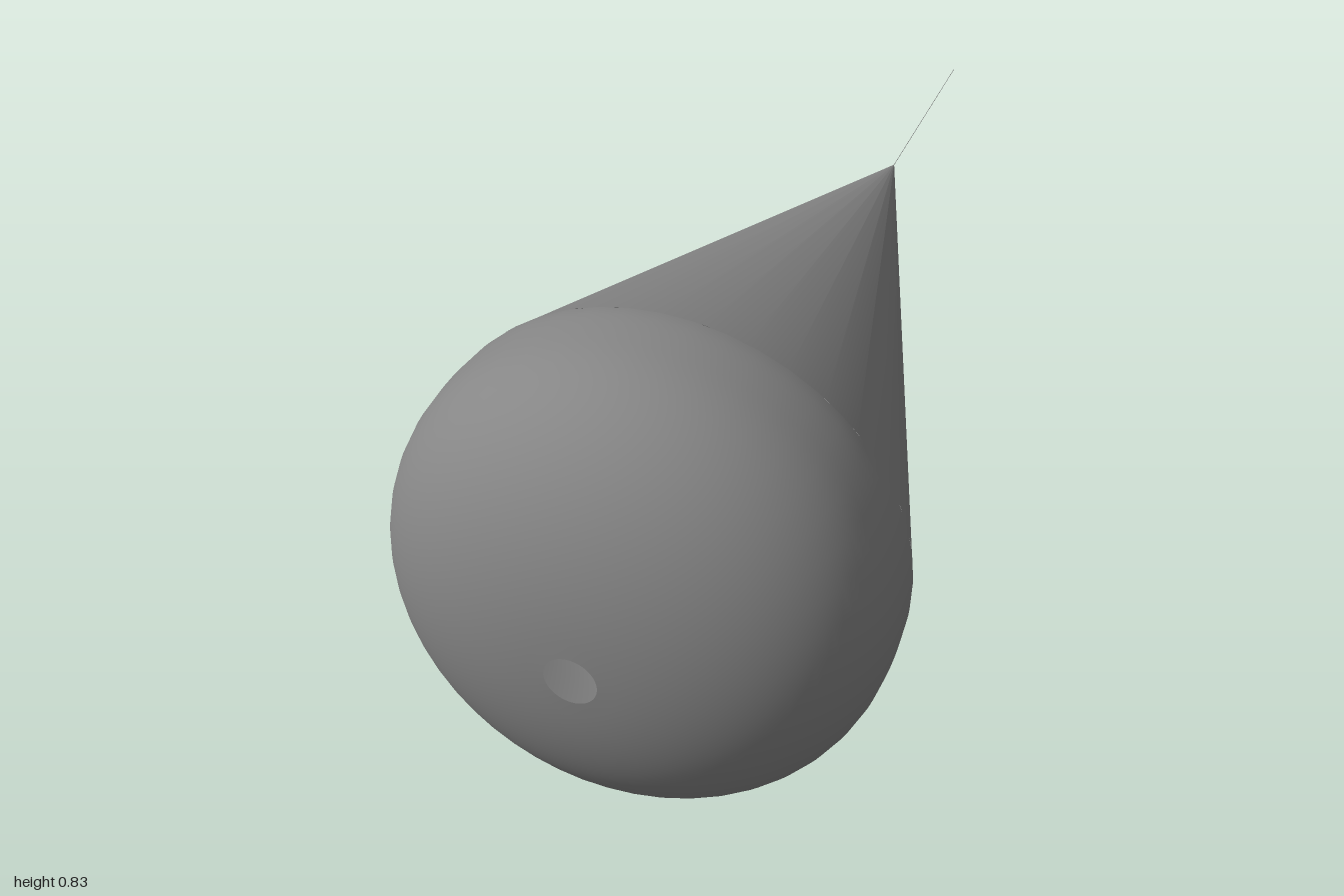
import * as THREE from 'three';

const AXIS_Y = 0.416;
const RADIUS = 0.414;
const SEAM_RADIUS = 0.405;
const SEAM_Z = 0.62;
const TIP_Z = -0.56;

export function createModel() {
  const model = new THREE.Group();
  model.name = 'domedCone';
  const material = new THREE.MeshStandardMaterial({ color: 0x868686, side: THREE.DoubleSide });

  // Turns a profile of (radius, z) points around the horizontal axis
  function turned(name, points, segments) {
    const geometry = new THREE.LatheGeometry(points, segments);
    geometry.rotateX(Math.PI / 2);
    const mesh = new THREE.Mesh(geometry, material);
    mesh.name = name;
    mesh.position.y = AXIS_Y;
    model.add(mesh);
  }
  const point = (r, z) => new THREE.Vector2(r, z);

  // Rounded cap: leaves the cone tangentially, then a squarish ellipse to a small open hole
  const bulgeZ = 0.715, depth = 0.285, holeRadius = 0.043, power = 2 / 2.2;
  const shoulder = new THREE.QuadraticBezierCurve(
    point(SEAM_RADIUS, SEAM_Z), point(RADIUS, 0.646), point(RADIUS, bulgeZ));
  const cap = shoulder.getPoints(5);
  const endAngle = Math.acos(Math.pow(holeRadius / RADIUS, 1 / power));
  for (let i = 1; i <= 24; i++) {
    const a = endAngle * i / 24;
    cap.push(point(
      RADIUS * Math.pow(Math.cos(a), power),
      bulgeZ + depth * Math.pow(Math.sin(a), power)));
  }
  turned('roundedCap', cap, 48);

  // Hollow cone tapering to the back
  turned('cone', [point(0.0005, TIP_Z), point(SEAM_RADIUS, SEAM_Z)], 36);

  // Hair-thin thread trailing from the tip
  turned('tipThread', [point(0.0005, -1), point(0.0005, TIP_Z)], 6);

  return model;
}
